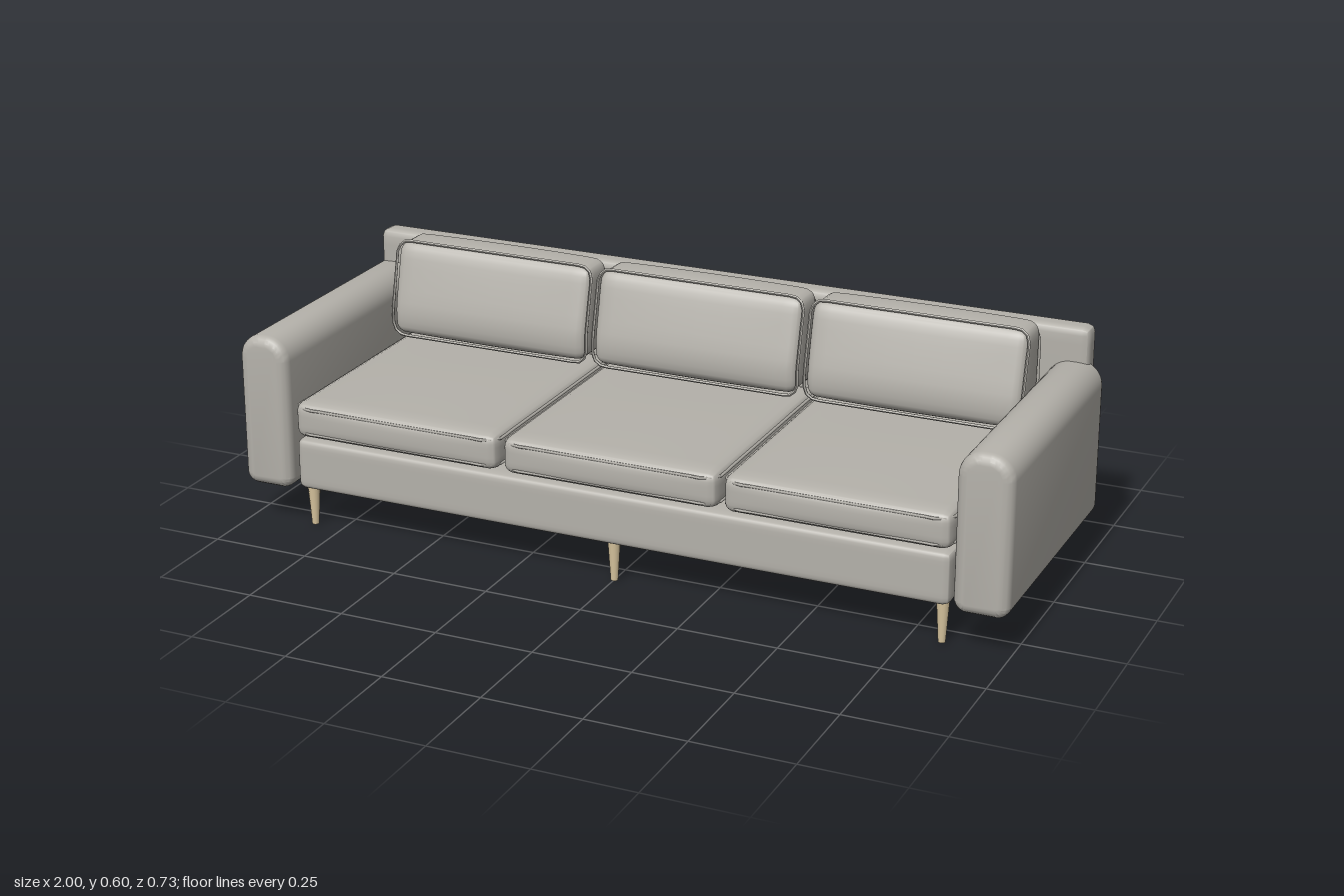
import * as THREE from 'three';
import { mergeVertices, toCreasedNormals } from 'three/addons/utils/BufferGeometryUtils.js';

const named = (mat, name) => Object.assign(mat, { name });
const fabric = named(new THREE.MeshStandardMaterial({ color: 0xb4b1aa }), 'greyFabric');
const wood = named(new THREE.MeshStandardMaterial({ color: 0xd8c59e }), 'paleWood');

function add(group, name, geometry, material, x = 0, y = 0, z = 0) {
  const mesh = new THREE.Mesh(geometry, material);
  mesh.name = name;
  mesh.position.set(x, y, z);
  group.add(mesh);
  return mesh;
}

// Rounded upholstered block; puff swells the middle of each face
function softBox(w, h, d, r, puff = 0) {
  const box = new THREE.BoxGeometry(2, 2, 2, 14, 14, 14);
  box.deleteAttribute('uv');
  box.deleteAttribute('normal');
  const geo = mergeVertices(box);
  const pos = geo.attributes.position;
  const half = new THREE.Vector3(w / 2, h / 2, d / 2);
  const inner = half.clone().subScalar(r);
  const low = inner.clone().negate();
  const spread = (u) => Math.sign(u) * (1 - (1 - Math.abs(u)) ** 2);
  const p = new THREE.Vector3();
  for (let i = 0; i < pos.count; i++) {
    p.fromBufferAttribute(pos, i);
    const u = p.set(spread(p.x), spread(p.y), spread(p.z)).clone();
    p.multiply(half);
    const core = p.clone().clamp(low, inner);
    const out = p.clone().sub(core);
    p.copy(core).add(out.setLength(r));
    p.x += puff * u.x * (1 - u.y * u.y) * (1 - u.z * u.z) * 0.3;
    p.y += puff * u.y * (1 - u.x * u.x) * (1 - u.z * u.z);
    p.z += puff * u.z * (1 - u.x * u.x) * (1 - u.y * u.y);
    pos.setXYZ(i, p.x, p.y, p.z);
  }
  geo.computeVertexNormals();
  return geo;
}

// Rounded rectangle with separate top and bottom radii
function roundedShape(w, h, top, bottom) {
  const x = w / 2, y = h / 2;
  const s = new THREE.Shape();
  s.absarc(x - top, y - top, top, 0, Math.PI / 2);
  s.absarc(-x + top, y - top, top, Math.PI / 2, Math.PI);
  s.absarc(-x + bottom, -y + bottom, bottom, Math.PI, Math.PI * 1.5);
  s.absarc(x - bottom, -y + bottom, bottom, Math.PI * 1.5, Math.PI * 2);
  s.closePath();
  return s;
}

// Piped seam following a rounded rectangle in the xy plane
function piping(w, h, r) {
  const points = roundedShape(w, h, r, r).getSpacedPoints(56).slice(0, -1);
  const curve = new THREE.CatmullRomCurve3(points.map((p) => new THREE.Vector3(p.x, p.y, 0)), true);
  return new THREE.TubeGeometry(curve, 84, 0.004, 5, true);
}

// Leans the front of a back cushion towards the backrest near its top
function lean(geo) {
  const pos = geo.attributes.position;
  for (let i = 0; i < pos.count; i++) {
    const rise = THREE.MathUtils.clamp((pos.getY(i) + 0.05) / 0.175, 0, 1);
    const front = (pos.getZ(i) + 0.075) / 0.15;
    pos.setZ(i, pos.getZ(i) - 0.045 * front * rise);
  }
  geo.computeVertexNormals();
  return geo;
}

function createArm() {
  const bevel = 0.025;
  const geo = new THREE.ExtrudeGeometry(roundedShape(0.135 - 2 * bevel, 0.395 - 2 * bevel, 0.035, 0.008), {
    depth: 0.7 - 2 * bevel, bevelEnabled: true, bevelSize: bevel, bevelThickness: bevel,
    bevelSegments: 4, curveSegments: 6,
  });
  geo.translate(0, 0, -0.35 + bevel);
  return toCreasedNormals(geo, 0.6);
}

function createSeatCushion() {
  const g = new THREE.Group();
  g.name = 'seatCushion';
  add(g, 'seatPad', softBox(0.56, 0.094, 0.64, 0.025, 0.006), fabric);
  for (const y of [-0.032, 0.032]) {
    add(g, 'seatPiping', piping(0.558, 0.638, 0.03).rotateX(Math.PI / 2), fabric, 0, y, 0);
  }
  return g;
}

function createBackCushion() {
  const g = new THREE.Group();
  g.name = 'backCushion';
  add(g, 'backPad', lean(softBox(0.55, 0.238, 0.148, 0.03, 0.006)), fabric);
  add(g, 'frontPiping', lean(piping(0.556, 0.245, 0.03).translate(0, 0, 0.064)), fabric);
  add(g, 'rearPiping', piping(0.55, 0.225, 0.03).translate(0, -0.012, -0.064), fabric);
  return g;
}

export function createModel() {
  const sofa = new THREE.Group();
  sofa.name = 'sofa';

  // Frame
  add(sofa, 'base', softBox(1.71, 0.133, 0.645, 0.018), fabric, 0, 0.17, 0.025);
  add(sofa, 'backrest', softBox(1.935, 0.45, 0.066, 0.02), fabric, 0, 0.355, -0.329);
  const arm = createArm();
  for (const [side, name] of [[1, 'leftArm'], [-1, 'rightArm']]) {
    add(sofa, name, arm, fabric, side * 0.9325, 0.2975, 0.013);
  }

  // Three seats, each with a pad and a leaning cushion
  for (const x of [-0.575, 0, 0.575]) {
    const seat = createSeatCushion();
    seat.position.set(x, 0.287, 0.03);
    const back = createBackCushion();
    back.position.set(x, 0.474, -0.217);
    sofa.add(seat, back);
  }

  // Tapered legs
  const leg = new THREE.CylinderGeometry(0.016, 0.009, 0.108, 12);
  for (const x of [-0.83, 0, 0.83]) {
    for (const z of [0.312, -0.298]) add(sofa, 'leg', leg, wood, x, 0.054, z);
  }
  return sofa;
}
